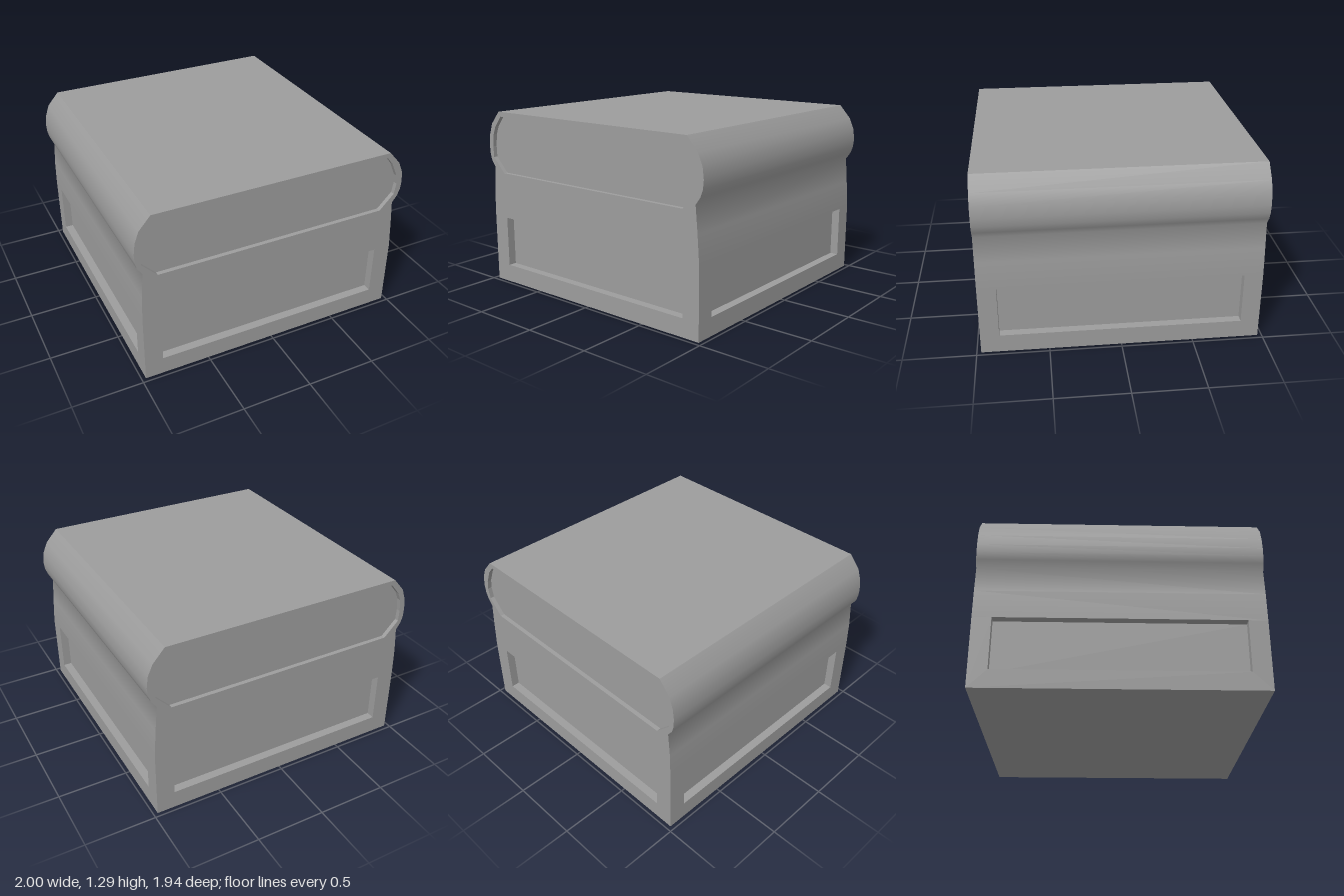
import * as THREE from 'three';

const HALF = 0.97;                      // half depth, and half width at the base
const HEIGHT = 1.295;
const material = new THREE.MeshStandardMaterial({ color: 0x9c9c9c });
const v2 = (pts) => pts.map(([x, y]) => new THREE.Vector2(x, y));
const rect = (w, y0, y1) => [[-w, y0], [w, y0], [w, y1], [-w, y1]];

function addMesh(parent, geometry, name) {
  const mesh = new THREE.Mesh(geometry, material);
  mesh.name = name;
  parent.add(mesh);
  return mesh;
}

// Side outlines from bottom to top
const leftEdge = [[0.97, 0.5], [0.956, 0.7], [0.94, 0.88], [0.976, 0.93], [0.994, 0.98],
  [1, 1.04], [0.99, 1.12], [0.955, 1.2], [0.87, HEIGHT]];
const rightEdge = [[-0.97, 0.5], [-0.965, 0.7], [-0.95, 0.88], [-0.985, 0.93], [-0.997, 0.98],
  [-1, 1.04], [-0.99, 1.12], [-0.962, 1.2], [-0.88, HEIGHT]];
const bodyOutline = [[-HALF, 0], [HALF, 0], ...leftEdge, ...[...rightEdge].reverse()];

// Upper sunk panel, following the rolled top
const rollPanel = [[-0.85, 0.84], [0.84, 0.84], [0.945, 0.95], [0.957, 1.03], [0.945, 1.1],
  [0.9, 1.2], [0.85, 1.26], [-0.86, 1.26], [-0.925, 1.18], [-0.95, 1.12], [-0.96, 1.03], [-0.957, 0.95]];
const basePanel = rect(0.84, 0.13, 0.5);

// Flat-shaded inner walls and floor of a recess sunk behind z = 0
function addRecess(parent, points, depth, name) {
  const pts = v2(points);
  if (THREE.ShapeUtils.isClockWise(pts)) pts.reverse();
  const pos = [];
  pts.forEach((a, i) => {
    const b = pts[(i + 1) % pts.length];
    pos.push(a.x, a.y, 0, b.x, b.y, 0, b.x, b.y, -depth);
    pos.push(a.x, a.y, 0, b.x, b.y, -depth, a.x, a.y, -depth);
  });
  const walls = new THREE.BufferGeometry();
  walls.setAttribute('position', new THREE.Float32BufferAttribute(pos, 3));
  walls.computeVertexNormals();
  addMesh(parent, walls, name + 'Walls');
  addMesh(parent, new THREE.ShapeGeometry(new THREE.Shape(pts)), name + 'Floor').position.z = -depth;
}

// End wall with two sunk panels; flip keeps the outline in place when it faces back
function endWall(name, flip) {
  const group = new THREE.Group();
  group.name = name;
  const f = (pts) => pts.map(([x, y]) => [x * flip, y]);
  const shape = new THREE.Shape(v2(f(bodyOutline)));
  for (const hole of [rollPanel, basePanel]) shape.holes.push(new THREE.Path(v2(f(hole))));
  addMesh(group, new THREE.ShapeGeometry(shape), name + 'Face');
  addRecess(group, f(rollPanel), 0.03, name + 'RollPanel');
  addRecess(group, f(basePanel), 0.06, name + 'BasePanel');
  return group;
}

// Lower side wall: a U-shaped face around one sunk panel
function sideWall(name) {
  const group = new THREE.Group();
  group.name = name;
  const face = [[-HALF, 0], [HALF, 0], [HALF, 0.5], [0.84, 0.5], [0.84, 0.13],
    [-0.84, 0.13], [-0.84, 0.5], [-HALF, 0.5]];
  addMesh(group, new THREE.ShapeGeometry(new THREE.Shape(v2(face))), name + 'Face');
  addRecess(group, basePanel, 0.06, name + 'Panel');
  return group;
}

// Smooth rolled side swept from front to back, with normals averaged along the outline
function rolledSide(edge, sign) {
  const pos = [], normals = [], index = [];
  const segmentNormal = (i) => new THREE.Vector2(
    edge[i + 1][1] - edge[i][1], edge[i][0] - edge[i + 1][0]).normalize().multiplyScalar(sign);
  edge.forEach(([x, y], i) => {
    const n = segmentNormal(Math.max(i - 1, 0));
    n.add(segmentNormal(Math.min(i, edge.length - 2))).normalize();
    if (i === 0) n.set(sign, 0);        // blends into the upright wall below
    // Outward is +x on the left and -x on the right
    const ny = i === 0 ? 0 : n.y;
    pos.push(x, y, HALF, x, y, -HALF);
    normals.push(n.x, ny, 0, n.x, ny, 0);
    if (i === 0) return;
    const a = 2 * i - 2, b = a + 1, c = a + 2, d = a + 3;
    if (sign > 0) index.push(a, b, d, a, d, c);
    else index.push(a, d, b, a, c, d);
  });
  const geometry = new THREE.BufferGeometry();
  geometry.setAttribute('position', new THREE.Float32BufferAttribute(pos, 3));
  geometry.setAttribute('normal', new THREE.Float32BufferAttribute(normals, 3));
  geometry.setIndex(index);
  return geometry;
}

export function createModel() {
  const model = new THREE.Group();
  model.name = 'paddedBlock';

  // Front and back
  const front = endWall('front', 1);
  front.position.z = HALF;
  const back = endWall('back', -1);
  back.rotation.y = Math.PI;
  back.position.z = -HALF;
  model.add(front, back);

  // Left and right
  for (const [name, sign, edge] of [['left', 1, leftEdge], ['right', -1, rightEdge]]) {
    const wall = sideWall(name + 'Wall');
    wall.rotation.y = sign * Math.PI / 2;
    wall.position.x = sign * HALF;
    model.add(wall);
    addMesh(model, rolledSide(edge, sign), name + 'Roll');
  }

  // Top and underside
  const top = addMesh(model, new THREE.PlaneGeometry(1.75, 2 * HALF), 'top');
  top.rotation.x = -Math.PI / 2;
  top.position.set(-0.005, HEIGHT, 0);
  const underside = addMesh(model, new THREE.PlaneGeometry(2 * HALF, 2 * HALF), 'underside');
  underside.rotation.x = Math.PI / 2;

  return model;
}
